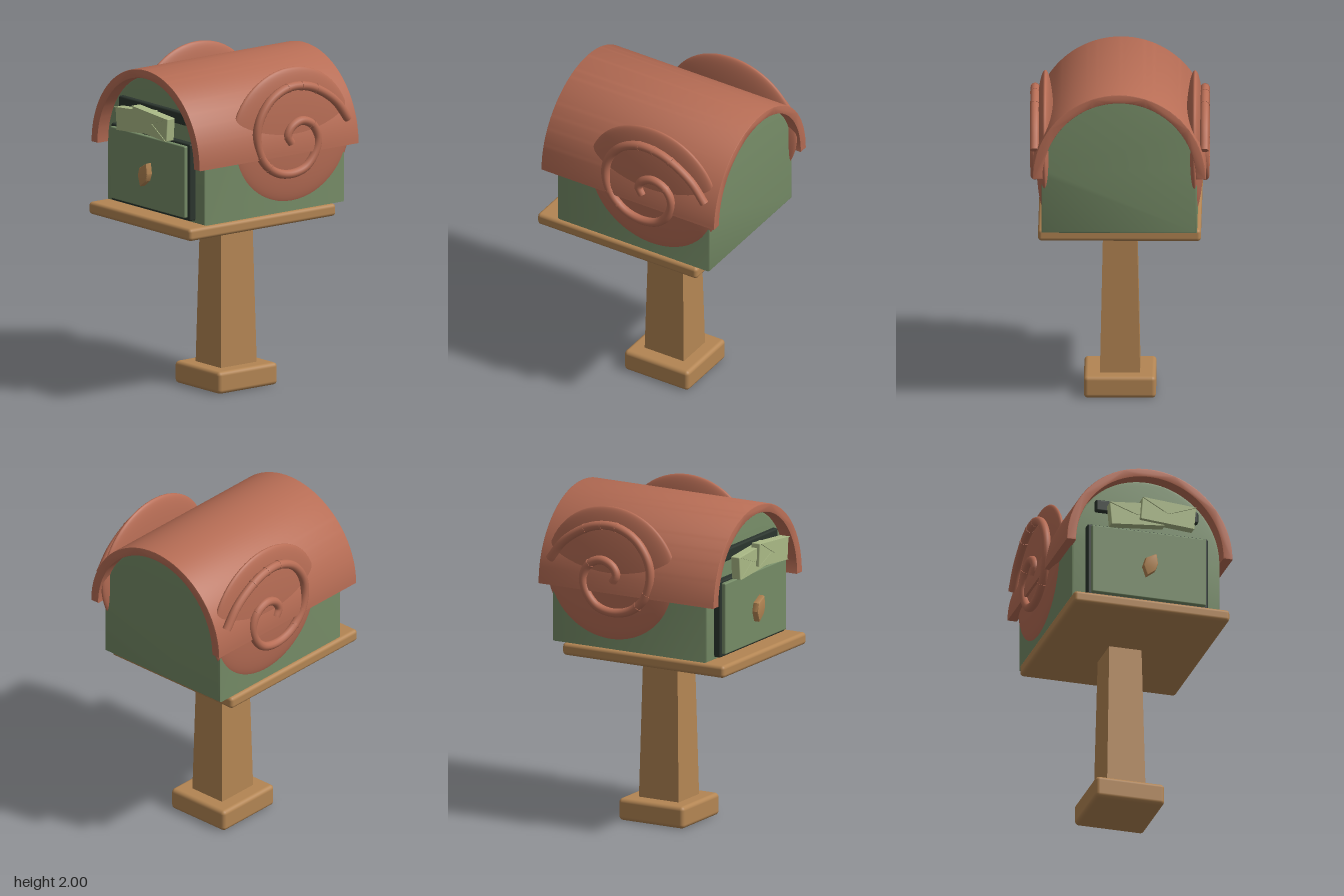
import * as THREE from 'three';
import { toCreasedNormals } from 'three/addons/utils/BufferGeometryUtils.js';
import { RoundedBoxGeometry } from 'three/addons/geometries/RoundedBoxGeometry.js';

const material = (name, color) => {
  const m = new THREE.MeshStandardMaterial({ color });
  m.name = name;
  return m;
};

export function createModel() {
  const model = new THREE.Group();
  model.name = 'mailbox';
  const wood = material('wood', 0xb38553);
  const green = material('green', 0x758b66);
  const terracotta = material('terracotta', 0xb76d55);
  const dark = material('darkTrim', 0x2b352e);
  const paper = material('paper', 0xaab986);

  const add = (name, geometry, mat, parent = model) => {
    const mesh = new THREE.Mesh(geometry, mat);
    mesh.name = name;
    parent.add(mesh);
    return mesh;
  };
  // Rounded box given by its extents on each axis
  const block = (name, [x0, x1], [y0, y1], [z0, z1], r, mat) => {
    const mesh = add(name, new RoundedBoxGeometry(x1 - x0, y1 - y0, z1 - z0, 3, r), mat);
    mesh.position.set((x0 + x1) / 2, (y0 + y1) / 2, (z0 + z1) / 2);
    return mesh;
  };
  // Extrusion between two z planes, bevel kept inside the outline
  const extrude = (shape, z0, z1, bevel) => {
    const g = new THREE.ExtrudeGeometry(shape, {
      depth: z1 - z0 - 2 * bevel, curveSegments: 40, bevelEnabled: bevel > 0,
      bevelSize: bevel, bevelThickness: bevel, bevelOffset: -bevel, bevelSegments: 2,
    });
    g.translate(0, 0, z0 + bevel);
    return toCreasedNormals(g, 0.6);
  };

  // Stand: foot, tapered post and platform
  block('foot', [-0.215, 0.215], [0, 0.135], [-0.262, 0.19], 0.025, wood);
  const post = new THREE.BoxGeometry(1, 0.95, 1);
  const p = post.attributes.position;
  for (let i = 0; i < p.count; i++) {
    const top = p.getY(i) > 0;
    p.setX(i, p.getX(i) * (top ? 0.2 : 0.24));
    p.setZ(i, p.getZ(i) * (top ? 0.235 : 0.275));
  }
  post.computeVertexNormals();
  add('post', post, wood).position.set(0, 0.595, -0.036);
  block('platform', [-0.485, 0.485], [1.045, 1.12], [-0.49, 0.63], 0.022, wood);

  // Arched body
  const springY = 1.475;
  const bodyShape = new THREE.Shape();
  bodyShape.moveTo(-0.463, 1.12);
  bodyShape.lineTo(0.463, 1.12);
  bodyShape.lineTo(0.463, springY);
  bodyShape.absellipse(0, springY, 0.463, 0.477, 0, Math.PI, false);
  bodyShape.closePath();
  add('body', extrude(bodyShape, -0.57, 0.5, 0.012), green);

  // Curved roof shell
  const roofShape = new THREE.Shape();
  roofShape.moveTo(0.516, springY);
  roofShape.absellipse(0, springY, 0.516, 0.525, 0, Math.PI, false);
  roofShape.lineTo(-0.458, springY);
  roofShape.absellipse(0, springY, 0.458, 0.472, Math.PI, 0, true);
  roofShape.closePath();
  add('roof', extrude(roofShape, -0.635, 0.58, 0.005), terracotta);

  // Door with dark surround and a faceted handle
  block('doorSurround', [-0.375, 0.375], [1.138, 1.608], [0.49, 0.542], 0.01, dark);
  block('door', [-0.355, 0.355], [1.157, 1.594], [0.53, 0.567], 0.008, green);
  const handleShape = new THREE.Shape([
    [0.036, 1.44], [-0.03, 1.405], [-0.045, 1.355], [-0.022, 1.29], [0.03, 1.33], [0.046, 1.375],
  ].map(([x, y]) => new THREE.Vector2(x, y)));
  add('doorHandle', extrude(handleShape, 0.56, 0.607, 0.008), wood);

  // Mail slot
  block('mailSlot', [-0.32, 0.32], [1.708, 1.783], [0.49, 0.53], 0.012, dark);

  // Envelopes with folded flaps
  const envelope = (name, x, y, z, tilt) => {
    const group = new THREE.Group();
    group.name = name;
    group.position.set(x, y, z);
    group.rotation.z = tilt;
    model.add(group);
    const w = 0.168, h = 0.07;
    add('envelopeBody', new RoundedBoxGeometry(2 * w, 2 * h, 0.06, 2, 0.006), paper, group);
    const flap = (label, points, depth) => {
      const shape = new THREE.Shape(points.map(([a, b]) => new THREE.Vector2(a, b)));
      add(label, extrude(shape, 0.028, 0.03 + depth, 0), paper, group);
    };
    flap('lowerFlap', [[-w, -h], [w, -h], [0, 0.02]], 0.004);
    flap('upperFlap', [[-w, h], [0, -0.008], [w, h]], 0.008);
  };
  envelope('leftEnvelope', -0.085, 1.682, 0.575, 0.09);
  envelope('rightEnvelope', 0.1, 1.7, 0.602, -0.08);

  // Shell disc and spiral on both sides; path given as z, y
  const spiral = [
    [-0.56, 1.635], [-0.47, 1.75], [-0.35, 1.835], [-0.235, 1.88], [-0.1, 1.885],
    [0.03, 1.825], [0.115, 1.71], [0.133, 1.6], [0.095, 1.475], [0.005, 1.39],
    [-0.115, 1.358], [-0.235, 1.385], [-0.31, 1.47], [-0.328, 1.56], [-0.285, 1.64],
    [-0.2, 1.672], [-0.125, 1.64], [-0.1, 1.59], [-0.125, 1.545],
  ];
  const outward = new THREE.Vector3(0, 0, 1), up = new THREE.Vector3(0, 1, 0);
  for (const s of [1, -1]) {
    const side = new THREE.Group();
    side.name = s > 0 ? 'leftShell' : 'rightShell';
    model.add(side);
    const disc = new THREE.SphereGeometry(1, 48, 32);
    disc.scale(0.056, 0.415, 0.45);
    add('shellDisc', disc, terracotta, side).position.set(s * 0.446, 1.578, -0.165);

    const path = new THREE.CatmullRomCurve3(spiral.map(([z, y]) => new THREE.Vector3(s * 0.506, y, z)));
    add('spiral', new THREE.TubeGeometry(path, 140, 0.027, 12), terracotta, side);
    // Flat ends
    for (const t of [0, 1]) {
      const cap = add('spiralEnd', new THREE.CircleGeometry(0.027, 12), terracotta, side);
      cap.position.copy(path.getPointAt(t));
      cap.quaternion.setFromUnitVectors(outward, path.getTangentAt(t).multiplyScalar(t ? 1 : -1));
    }
    // Slim joint collars
    for (const t of [0.16, 0.22, 0.27, 0.52, 0.57, 0.86]) {
      const collar = add('spiralJoint', new THREE.CylinderGeometry(0.029, 0.029, 0.012, 14), terracotta, side);
      collar.position.copy(path.getPointAt(t));
      collar.quaternion.setFromUnitVectors(up, path.getTangentAt(t));
    }
  }
  return model;
}
